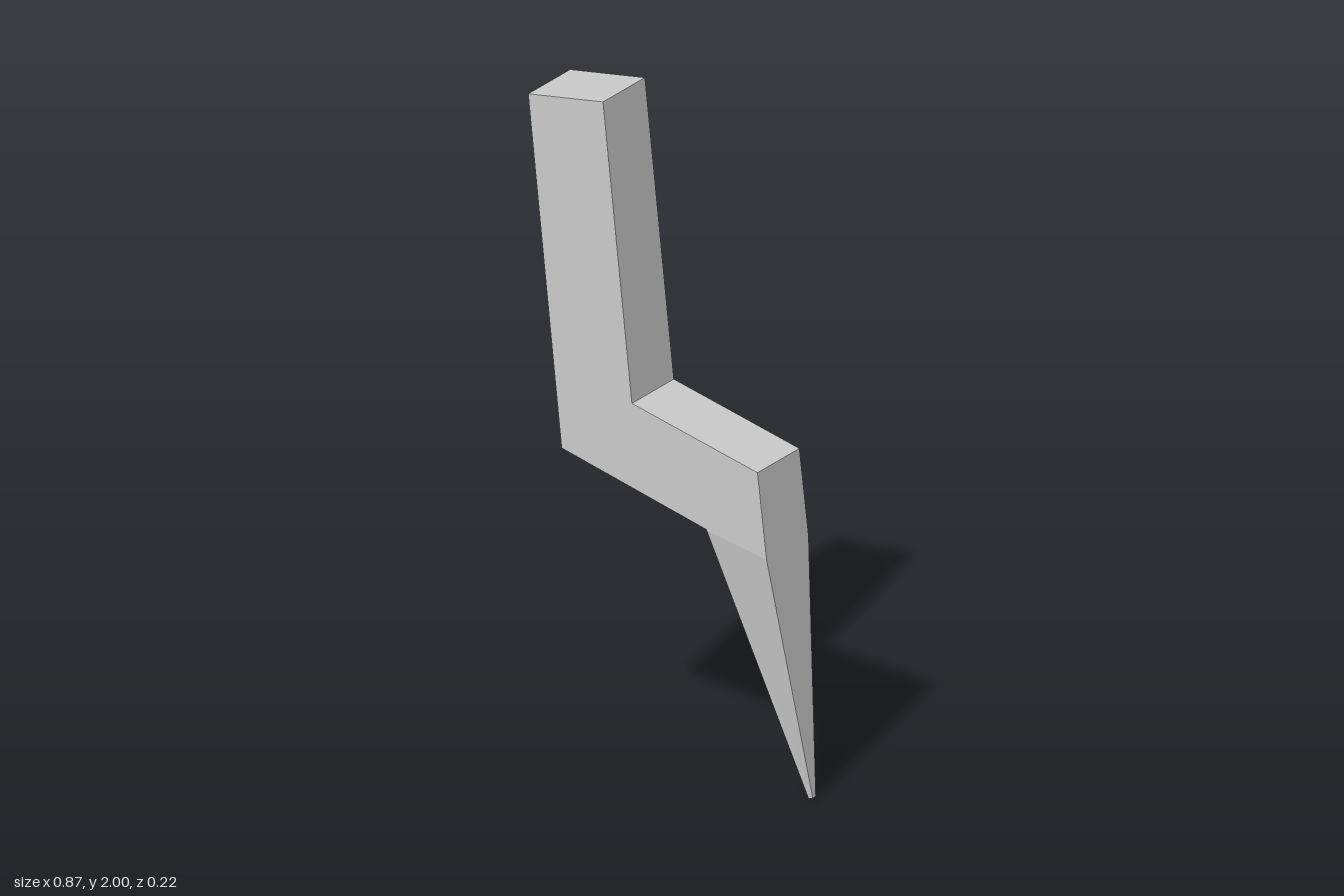
import * as THREE from 'three';

// Cross-sections from top to tip: left x, y, right x, y, half depth
const SECTIONS = [
  [-0.436, 1.975, -0.19, 2.0, 0.112],
  [-0.326, 0.935, -0.095, 1.115, 0.112],
  [0.15, 0.786, 0.318, 0.99, 0.112],
  [0.151, 0.783, 0.348, 0.735, 0.112],
  [0.422, 0, 0.436, 0.004, 0.008],
];

// Skin four-cornered rings with quads and close both ends
function loft(sections) {
  const rings = sections.map(([lx, ly, rx, ry, d]) => [
    [lx, ly, d], [rx, ry, d], [rx, ry, -d], [lx, ly, -d],
  ]);
  const pos = [];
  const quad = (a, b, c, d) => pos.push(...a, ...b, ...c, ...a, ...c, ...d);
  for (let s = 0; s < rings.length - 1; s++) {
    const upper = rings[s], lower = rings[s + 1];
    for (let i = 0; i < 4; i++) {
      const j = (i + 1) % 4;
      quad(upper[i], lower[i], lower[j], upper[j]);
    }
  }
  quad(...rings[0]);
  quad(...[...rings[rings.length - 1]].reverse());
  const geo = new THREE.BufferGeometry();
  geo.setAttribute('position', new THREE.Float32BufferAttribute(pos, 3));
  geo.computeVertexNormals();
  return geo;
}

export function createModel() {
  const group = new THREE.Group();
  group.name = 'bentSpike';
  // Square bar with two elbows, ending in a sharp point
  const bar = new THREE.Mesh(
    loft(SECTIONS),
    new THREE.MeshStandardMaterial({ color: 0xcccccc, flatShading: true }),
  );
  bar.name = 'bentPointedBar';
  group.add(bar);
  return group;
}
